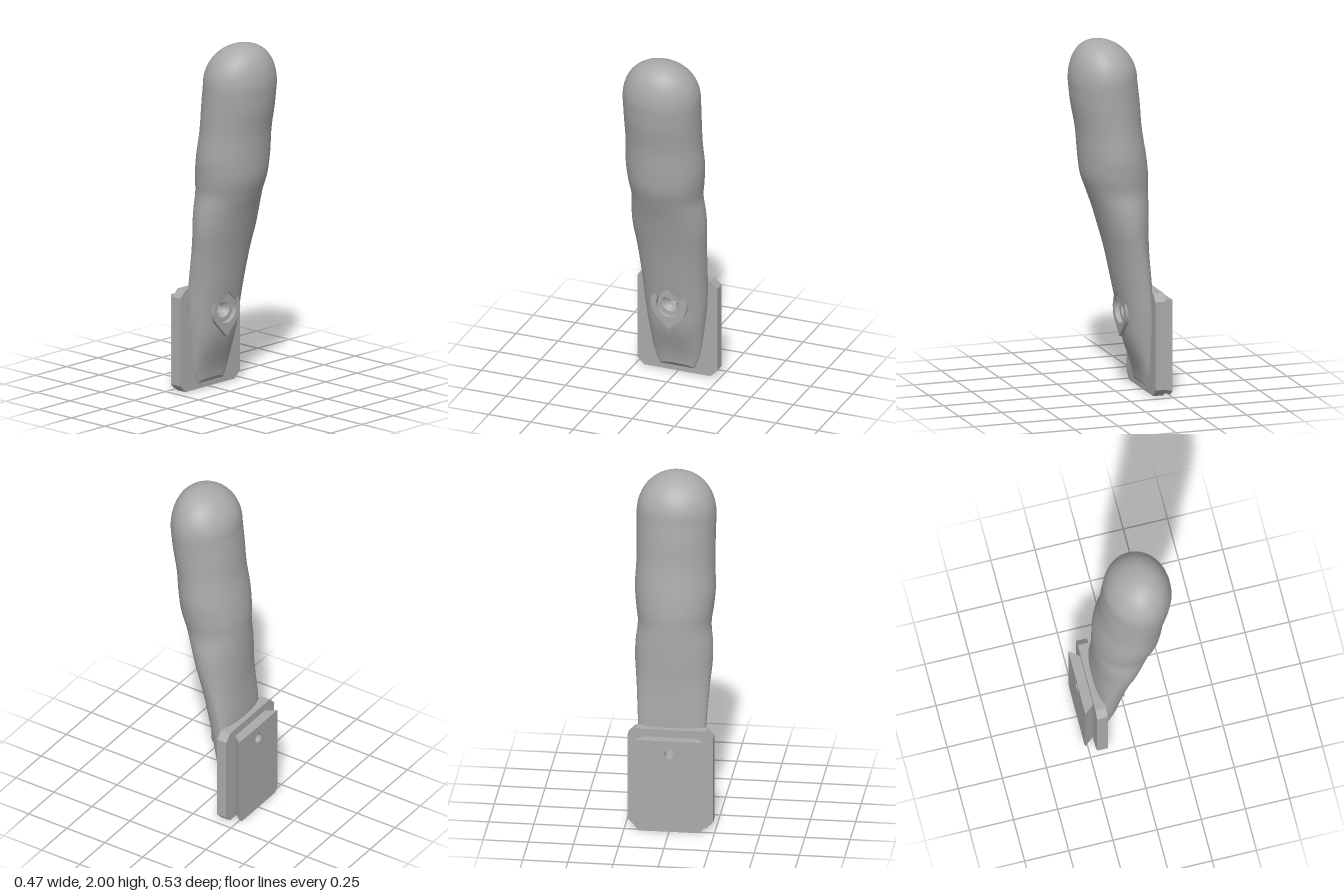
import * as THREE from 'three';

const grey = new THREE.MeshStandardMaterial({ color: 0xaaaaaa });
grey.name = 'grey';
const HOLE_Y = 0.46;
const PAD_Z = -0.022, FLOOR_Z = -0.05, CONE_Z = -0.08;

// height, half width, front z, back z
const PROFILE = [
  [0.035, 0.1, -0.128, -0.16], [0.12, 0.135, -0.115, -0.165], [0.3, 0.163, -0.052, -0.17],
  [0.46, 0.181, -0.024, -0.175], [0.6, 0.189, 0.006, -0.18], [0.8, 0.202, 0.05, -0.172],
  [0.95, 0.215, 0.093, -0.174], [1.05, 0.213, 0.125, -0.175], [1.15, 0.203, 0.163, -0.175],
  [1.24, 0.214, 0.194, -0.175], [1.35, 0.223, 0.208, -0.162], [1.5, 0.217, 0.222, -0.138],
  [1.65, 0.218, 0.25, -0.126], [1.77, 0.22, 0.263, -0.112],
];

// Smooth cubic through one column of the profile
function sample(y, k) {
  const P = PROFILE, n = P.length;
  let i = 0;
  while (i < n - 2 && y > P[i + 1][0]) i++;
  const slope = (j) => {
    const a = P[Math.max(j - 1, 0)], b = P[Math.min(j + 1, n - 1)];
    return (b[k] - a[k]) / (b[0] - a[0]);
  };
  const h = P[i + 1][0] - P[i][0], t = (y - P[i][0]) / h, u = 1 - t;
  return P[i][k] * u * u * (1 + 2 * t) + P[i + 1][k] * t * t * (3 - 2 * t)
    + h * t * u * (slope(i) * u - slope(i + 1) * t);
}

function section(y) {
  const w = sample(y, 1), f = sample(y, 2), b = sample(y, 3);
  const low = THREE.MathUtils.clamp((0.9 - y) / 0.6, 0, 1);
  const zc = THREE.MathUtils.lerp((f + b) / 2, b + 0.01, low * 0.9);
  return { w, zc, f: f - zc, b: zc - b, n: 2 + 0.4 * low };
}

function frontZ(x, y) {
  const s = section(y);
  return s.zc + s.f * Math.pow(1 - Math.pow(Math.abs(x) / s.w, s.n), 1 / s.n);
}

// Teardrop outline, counter-clockwise, with its point up (or down)
function teardrop(r, flip = 1) {
  const pts = [];
  for (let i = 0; i <= 36; i++) {
    const a = Math.PI * (0.75 + 1.5 * i / 36);
    pts.push(new THREE.Vector2(flip * r * Math.cos(a), HOLE_Y + flip * r * Math.sin(a)));
  }
  pts.push(new THREE.Vector2(0, HOLE_Y + flip * r * Math.SQRT2));
  return pts;
}

// Remove everything inside a convex outline (seen along z) from a smooth geometry
function cutThrough(geo, outline) {
  const p = geo.attributes.position, nn = geo.attributes.normal, idx = geo.index.array;
  const out = [];
  const emit = (poly) => {
    for (let i = 1; i + 1 < poly.length; i++) out.push(poly[0], poly[i], poly[i + 1]);
  };
  const split = (poly, a, b, sign) => {
    const side = (v) => sign * ((b.x - a.x) * (v[1] - a.y) - (b.y - a.y) * (v[0] - a.x));
    const res = [];
    poly.forEach((v, i) => {
      const w = poly[(i + 1) % poly.length], s = side(v), t = side(w);
      if (s >= 0) res.push(v);
      if (s * t < 0) res.push(v.map((c, k) => c + (w[k] - c) * s / (s - t)));
    });
    return res;
  };
  for (let i = 0; i < idx.length; i += 3) {
    const tri = [0, 1, 2].map((k) => {
      const j = idx[i + k];
      return [p.getX(j), p.getY(j), p.getZ(j), nn.getX(j), nn.getY(j), nn.getZ(j)];
    });
    if (tri.every((v) => Math.hypot(v[0], v[1] - HOLE_Y) > 0.2)) { emit(tri); continue; }
    let rest = tri;
    for (let e = 0; e < outline.length && rest.length > 2; e++) {
      const a = outline[e], b = outline[(e + 1) % outline.length];
      emit(split(rest, a, b, -1));
      rest = split(rest, a, b, 1);
    }
  }
  const g = new THREE.BufferGeometry();
  g.setAttribute('position', new THREE.Float32BufferAttribute(out.flatMap((v) => v.slice(0, 3)), 3));
  g.setAttribute('normal', new THREE.Float32BufferAttribute(out.flatMap((v) => v.slice(3)), 3));
  return g;
}

// Rounded hook body lofted from oval sections with a domed top
function bodyGeometry() {
  const SEG = 72, pos = [], index = [], rings = [];
  for (let i = 0; i <= 70; i++) rings.push([THREE.MathUtils.lerp(0.035, 1.77, i / 70), 1, 0]);
  for (let i = 1; i <= 20; i++) {
    const a = Math.PI / 2 * i / 20;
    rings.push([1.77 + 0.23 * Math.pow(Math.sin(a), 0.95), Math.max(Math.pow(Math.cos(a), 0.92), 0.004), Math.sin(a)]);
  }
  rings.forEach(([y, scale, lift], r) => {
    const s = section(Math.min(y, 1.77));
    for (let i = 0; i < SEG; i++) {
      const a = 2 * Math.PI * i / SEG, c = Math.cos(a), d = Math.sin(a), e = 2 / s.n;
      const x = s.w * scale * Math.sign(c) * Math.pow(Math.abs(c), e);
      const dz = (d > 0 ? s.f : s.b) * scale * Math.sign(d) * Math.pow(Math.abs(d), e);
      // the lower end slopes up towards the front
      const tilt = r < 3 && d > 0 ? 0.025 * d * (1 - r / 3) : 0;
      pos.push(x, y + tilt, s.zc + 0.025 * lift * lift + dz);
      const j = (i + 1) % SEG, q = r * SEG;
      if (r < rings.length - 1) {
        index.push(q + i, q + SEG + i, q + j, q + j, q + SEG + i, q + SEG + j);
      }
    }
  });
  const g = new THREE.BufferGeometry();
  g.setAttribute('position', new THREE.Float32BufferAttribute(pos, 3));
  g.setIndex(index);
  g.computeVertexNormals();
  // flat cap under the lower end
  const end = new THREE.BufferGeometry();
  const capIndex = [];
  for (let i = 1; i + 1 < SEG; i++) capIndex.push(0, i, i + 1);
  end.setAttribute('position', new THREE.Float32BufferAttribute(pos.slice(0, SEG * 3), 3));
  end.setIndex(capIndex);
  return { body: cutThrough(g, teardrop(0.075)), end: end.toNonIndexed() };
}

// Inward-facing wall between two teardrops
function wall(r1, z1, r2, z2) {
  const A = teardrop(r1), B = teardrop(r2), pos = [];
  A.forEach((a, i) => {
    const j = (i + 1) % A.length, c = A[j], b = B[i], d = B[j];
    const za = z1(a), zc = z1(c);
    pos.push(a.x, a.y, za, c.x, c.y, zc, b.x, b.y, z2, c.x, c.y, zc, d.x, d.y, z2, b.x, b.y, z2);
  });
  const g = new THREE.BufferGeometry();
  g.setAttribute('position', new THREE.Float32BufferAttribute(pos, 3));
  g.computeVertexNormals();
  return g;
}

function holedShape(points, r) {
  const s = new THREE.Shape(points);
  s.holes.push(new THREE.Path(teardrop(r)));
  return s;
}

function slab(points, r, z0, z1) {
  const g = new THREE.ExtrudeGeometry(holedShape(points, r), { depth: z1 - z0, bevelEnabled: false });
  return g.translate(0, 0, z0);
}

// Rectangle with cut corners
function cutRect(w, y0, y1, low, high) {
  return [[-w + low, y0], [w - low, y0], [w, y0 + low], [w, y1 - high], [w - high, y1],
    [-w + high, y1], [-w, y1 - high], [-w, y0 + low]].map(([x, y]) => new THREE.Vector2(x, y));
}

export function createModel() {
  const model = new THREE.Group();
  const add = (name, geo) => {
    const m = new THREE.Mesh(geo, grey);
    m.name = name;
    model.add(m);
  };
  const { body, end } = bodyGeometry();
  end.computeVertexNormals();
  add('hookBody', body);
  add('hookEnd', end);

  // Mounting plate and the flared rail behind it
  add('mountingPlate', slab(cutRect(0.237, 0.005, 0.585, 0.04, 0.04), 0.028, -0.21, -0.15));
  const railShape = cutRect(0.19, 0, 0.54, 0.025, 0);
  railShape.splice(4, 2);
  const rail = slab(railShape, 0.028, -0.265, -0.21);
  const p = rail.attributes.position;
  for (let i = 0; i < p.count; i++) {
    const x = p.getX(i);
    if (p.getZ(i) > -0.22 && Math.abs(x) > 0.05) p.setX(i, x - Math.sign(x) * 0.045);
  }
  rail.computeVertexNormals();
  add('dovetailRail', rail);

  // Screw pad, recess, countersink and through hole
  add('screwPad', slab(teardrop(0.106, -1), 0.075, -0.12, PAD_Z));
  add('recessWall', wall(0.075, (v) => Math.max(frontZ(v.x, v.y), FLOOR_Z), 0.075, FLOOR_Z));
  add('recessFloor', new THREE.ShapeGeometry(holedShape(teardrop(0.075), 0.05)).translate(0, 0, FLOOR_Z));
  add('countersink', wall(0.05, () => FLOOR_Z, 0.028, CONE_Z));
  add('screwHole', wall(0.028, () => CONE_Z, 0.028, -0.15));
  return model;
}
